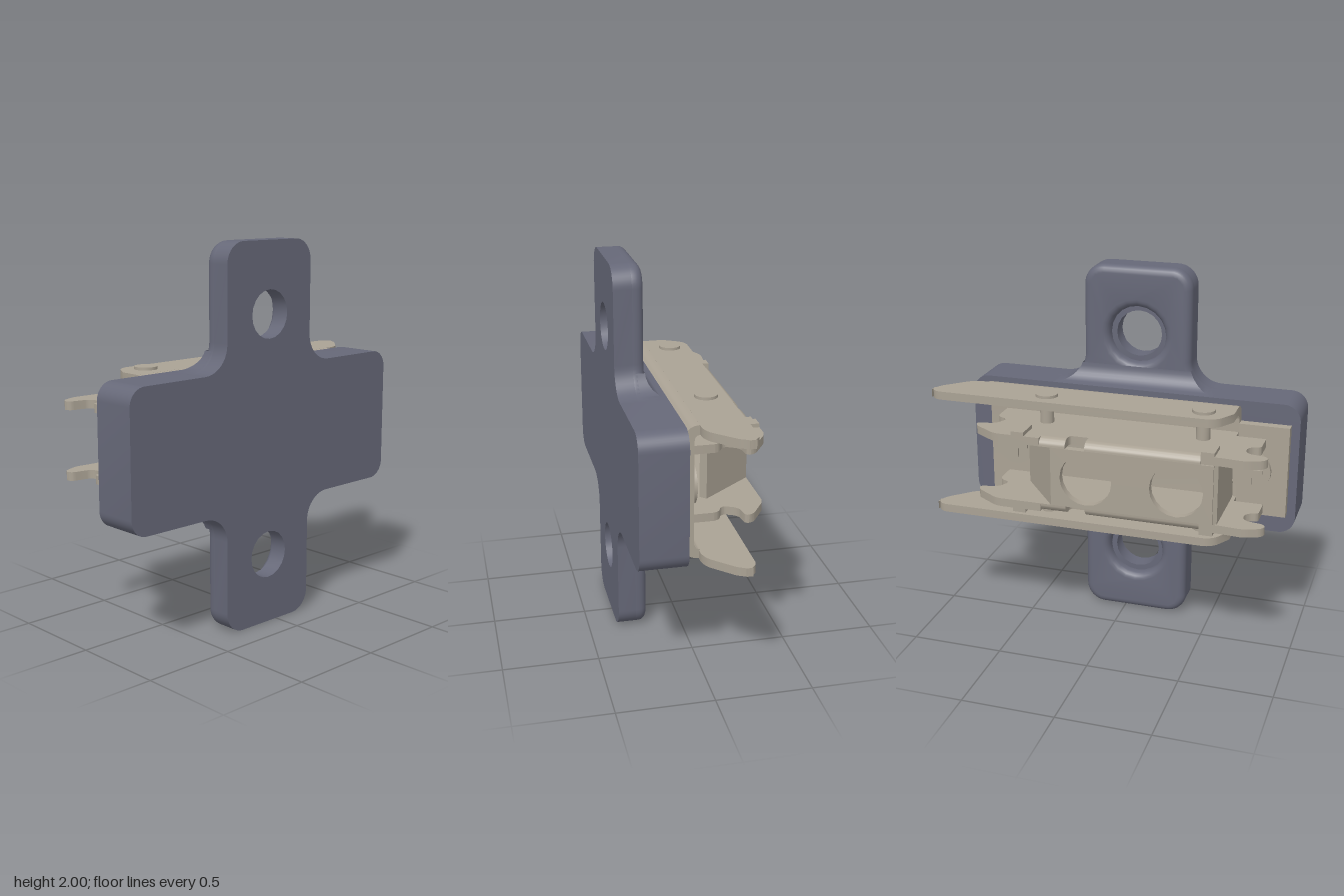
import * as THREE from 'three';
import { toCreasedNormals } from 'three/addons/utils/BufferGeometryUtils.js';

const plateMat = new THREE.MeshStandardMaterial({ color: 0x666878, side: THREE.DoubleSide });
const metalMat = new THREE.MeshStandardMaterial({ color: 0xaaa294 });

// Closed outline from [a, b, cornerSize] points, corners rounded by a cubic arc
function outline(points) {
  const s = new THREE.Shape();
  const n = points.length;
  points.forEach(([x, y, r = 0], i) => {
    const c = new THREE.Vector2(x, y);
    const along = (j, d) => c.clone().add(
      new THREE.Vector2(points[j][0], points[j][1]).sub(c).setLength(d));
    const p = along((i + n - 1) % n, r), q = along((i + 1) % n, r);
    if (i === 0) s.moveTo(p.x, p.y); else s.lineTo(p.x, p.y);
    if (r > 0) {
      const k1 = p.clone().lerp(c, 0.552), k2 = q.clone().lerp(c, 0.552);
      s.bezierCurveTo(k1.x, k1.y, k2.x, k2.y, q.x, q.y);
    }
  });
  s.closePath();
  return s;
}

function extrude(shape, depth, options = {}) {
  return new THREE.ExtrudeGeometry(shape, { depth, bevelEnabled: false, curveSegments: 10, ...options });
}

function circle(a, b, r) {
  return new THREE.Path().absarc(a, b, r, 0, Math.PI * 2, true);
}

export function createModel() {
  const model = new THREE.Group();
  const add = (parent, name, geo, mat = metalMat) => {
    const mesh = new THREE.Mesh(toCreasedNormals(geo, 0.6), mat);
    mesh.name = name;
    parent.add(mesh);
    return mesh;
  };
  const group = (name) => {
    const g = new THREE.Group();
    g.name = name;
    model.add(g);
    return g;
  };
  // (z, y) outline, extruded from x0 towards -x
  const sideways = (shape, x0, depth, options) =>
    extrude(shape, depth, options).rotateY(-Math.PI / 2).translate(x0, 0, 0);
  // (x, z) points, extruded upwards from y0 to y1
  const upright = (points, y0, y1) =>
    extrude(outline(points.map(([x, z, r]) => [x, -z, r])), y1 - y0).rotateX(-Math.PI / 2).translate(0, y0, 0);
  // the same plate above and below the middle plane y = 1
  const platePair = (parent, name, points, y0, y1) => {
    add(parent, name + 'Upper', upright(points, y0, y1));
    add(parent, name + 'Lower', upright(points, 2 - y1, 2 - y0));
  };

  // Cross-shaped mounting plate: thick block and thinner arms
  const plate = group('mountingPlate');
  add(plate, 'plateBlock', sideways(outline([
    [-0.85, 0.64, 0.09], [0.97, 0.64, 0.09], [0.97, 1.36, 0.09], [-0.85, 1.36, 0.09],
  ]), 0.345, 0.245), plateMat);

  const armShape = (holeRadius) => {
    const s = outline([
      [-0.235, 2, 0.11], [-0.235, 1.36, 0.145], [-0.4, 1.36], [-0.4, 0.64], [-0.235, 0.64, 0.145], [-0.235, 0, 0.11],
      [0.355, 0, 0.11], [0.355, 0.64, 0.145], [0.52, 0.64], [0.52, 1.36], [0.355, 1.36, 0.145], [0.355, 2, 0.11],
    ]);
    s.holes.push(circle(0.06, 1.63, holeRadius), circle(0.06, 0.37, holeRadius));
    return s;
  };
  add(plate, 'armsBack', sideways(armShape(0.125), 0.345, 0.095), plateMat);
  // rounded outer layer, with the wider part of the stepped holes
  add(plate, 'armsFront', sideways(armShape(0.155), 0.25, 0.02, {
    bevelEnabled: true, bevelThickness: 0.04, bevelSize: 0.04, bevelOffset: -0.04, bevelSegments: 5,
  }), plateMat);

  // Concave blend from each arm into the block, widening with the corners
  for (const sign of [1, -1]) {
    const rows = 8;
    const geo = new THREE.PlaneGeometry(1, 1, 3, rows);
    const pos = geo.attributes.position;
    for (let i = 0; i < pos.count; i++) {
      const col = i % 4, a = (Math.floor(i / 4) / rows) * Math.PI / 2;
      const x = 0.1 + 0.09 * Math.cos(a), h = 0.46 - 0.1 * Math.sin(a);
      const flare = 0.145 - Math.sqrt(Math.max(0, 0.145 ** 2 - (0.505 - h) ** 2));
      const z = col < 2 ? -0.235 - flare : 0.355 + flare;
      pos.setXYZ(i, col === 0 || col === 3 ? 0.24 : x, 1 + sign * h, z);
    }
    // keep the faces outward on the mirrored side
    if (sign < 0) {
      const idx = geo.index;
      for (let i = 0; i < idx.count; i += 3) {
        const t = idx.getX(i);
        idx.setX(i, idx.getX(i + 1));
        idx.setX(i + 1, t);
      }
    }
    add(plate, 'armBlend', geo, plateMat);
  }

  // Outer channel: bent base and two long side flanges
  const channel = group('outerChannel');
  const u = new THREE.Shape();
  u.moveTo(0.02, 1.35);
  u.quadraticCurveTo(0.1, 1.35, 0.1, 1.27).lineTo(0.1, 0.73);
  u.quadraticCurveTo(0.1, 0.65, 0.02, 0.65).lineTo(0.02, 0.7);
  u.quadraticCurveTo(0.05, 0.7, 0.05, 0.73).lineTo(0.05, 1.27);
  u.quadraticCurveTo(0.05, 1.3, 0.02, 1.3).closePath();
  add(channel, 'channelBase', extrude(u, 1.39).translate(0, 0, -0.73));
  platePair(channel, 'channelFlange', [
    [-0.21, -0.97, 0.06], [-0.135, -0.97, 0.05], [0.025, -0.81, 0.05], [0.025, -0.73],
    [0.025, 0.66], [-0.09, 0.66], [-0.21, 0.59, 0.05],
  ], 1.305, 1.35);
  add(channel, 'baseTongue', new THREE.BoxGeometry(0.05, 0.5, 0.28).translate(0.075, 1, 0.785));

  // Inner arm: forked side plates
  const arm = group('innerArm');
  platePair(arm, 'armSide', [
    [-0.35, -0.55, 0.03], [-0.26, -0.69, 0.03], [-0.22, -0.69, 0.02], [-0.21, -0.6, 0.03],
    [-0.13, -0.56, 0.03], [-0.1, -0.63, 0.03], [0.04, -0.63], [0.045, 0.66], [-0.015, 0.66], [-0.015, 0.815],
    [-0.14, 0.815, 0.02], [-0.15, 0.75, 0.04], [-0.24, 0.75, 0.04], [-0.26, 0.875, 0.03], [-0.31, 0.875, 0.03],
    [-0.35, 0.78, 0.03], [-0.34, 0.66], [-0.34, 0.55], [-0.3, 0.55], [-0.3, -0.055],
    [-0.27, -0.055], [-0.27, -0.16, 0.02], [-0.3, -0.16], [-0.3, -0.3], [-0.35, -0.3],
  ], 1.16, 1.205);
  platePair(arm, 'rearTab', [[-0.35, -0.455], [-0.225, -0.455], [-0.225, -0.385], [-0.35, -0.385]], 1.17, 1.225);
  platePair(arm, 'frontTab', [[-0.34, 0.55], [-0.225, 0.55], [-0.225, 0.62], [-0.34, 0.62]], 1.17, 1.225);

  // Rounded edges joining the sides to the web, interrupted by the notch
  for (const s of [1, -1]) {
    for (const [z0, z1] of [[-0.3, -0.16], [-0.055, 0.55]]) {
      const edge = outline([
        [-0.35, 1 + s * 0.16], [-0.35, 1 + s * 0.205, 0.044], [-0.3, 1 + s * 0.205], [-0.3, 1 + s * 0.16],
      ]);
      add(arm, 'armEdge', extrude(edge, z1 - z0).translate(0, 0, z0));
    }
  }

  // Web with two round openings, and walls turning inwards at both ends
  const web = outline([[-0.24, 0.84], [0.62, 0.84], [0.62, 1.16], [-0.24, 1.16]]);
  web.holes.push(circle(-0.05, 1, 0.14), circle(0.43, 1, 0.14));
  add(arm, 'armWeb', sideways(web, -0.31, 0.04));
  add(arm, 'rearWall', upright([[-0.35, -0.24], [-0.08, -0.46], [-0.05, -0.43], [-0.31, -0.22]], 0.84, 1.16));
  add(arm, 'frontWall', upright([[-0.35, 0.6], [-0.33, 0.64], [0.04, 0.64], [0.04, 0.6]], 0.84, 1.16));

  // Rivets through the flanges
  const rivets = group('rivets');
  for (const z of [-0.345, 0.505]) {
    for (const s of [1, -1]) {
      add(rivets, 'rivetHead', new THREE.CylinderGeometry(0.06, 0.06, 0.03, 32).translate(-0.1, 1 + s * 0.35, z));
      add(rivets, 'rivetShaft', new THREE.CylinderGeometry(0.037, 0.037, 0.14, 24).translate(-0.1, 1 + s * 0.26, z));
    }
  }

  // Adjusting screws on the base, with raised cross ribs
  const screws = group('screws');
  for (const z of [-0.58, 0.73]) {
    add(screws, 'screwHead', new THREE.CylinderGeometry(0.11, 0.11, 0.035, 32).rotateZ(Math.PI / 2).translate(0.04, 1, z));
    add(screws, 'screwRib', new THREE.BoxGeometry(0.012, 0.14, 0.03).translate(0.018, 1, z));
    add(screws, 'screwRib', new THREE.BoxGeometry(0.012, 0.03, 0.14).translate(0.018, 1, z));
  }

  return model;
}
